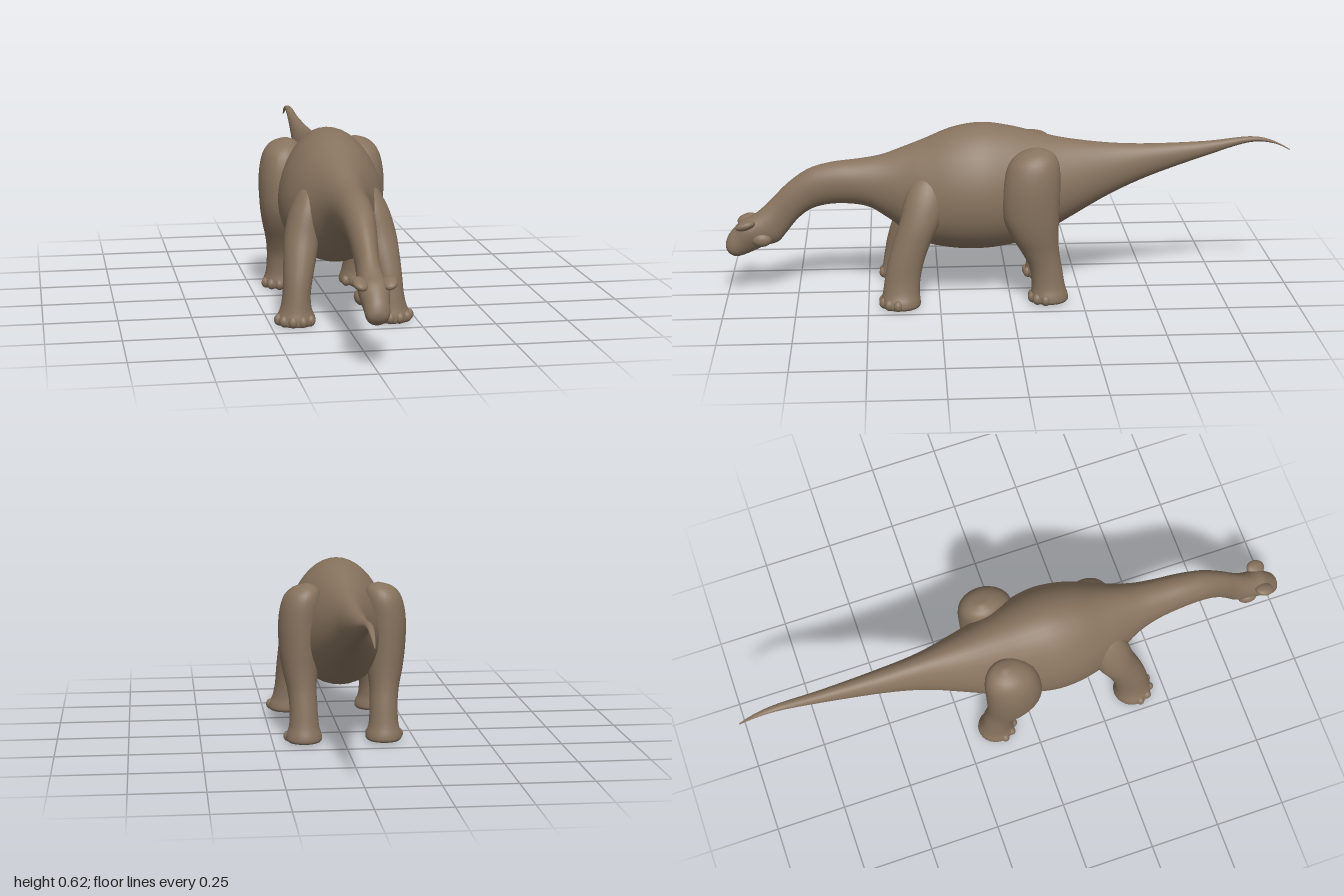
import * as THREE from 'three';

// Smoothly resample a table of section rows (Catmull-Rom on every column)
function resample(rows, steps) {
  const out = [];
  const at = (i) => rows[Math.max(0, Math.min(rows.length - 1, i))];
  for (let i = 0; i < rows.length - 1; i++) {
    for (let s = 0; s < steps; s++) {
      const t = s / steps;
      out.push(rows[i].map((b, k) => {
        const a = at(i - 1)[k], c = at(i + 1)[k], d = at(i + 2)[k];
        return b + 0.5 * t * (c - a + t * (2 * a - 5 * b + 4 * c - d + t * (3 * (b - c) + d - a)));
      }));
    }
  }
  out.push(rows[rows.length - 1]);
  return out;
}

// Skin closed rings of points, with a fan at each end
function loft(rows, sides, point) {
  const pos = [], index = [];
  rows.forEach((row) => {
    for (let j = 0; j < sides; j++) pos.push(...point(row, (j / sides) * Math.PI * 2));
  });
  for (let i = 0; i < rows.length - 1; i++) {
    for (let j = 0; j < sides; j++) {
      const k = (j + 1) % sides;
      const a = i * sides + j, b = i * sides + k;
      index.push(a, b, b + sides, a, b + sides, a + sides);
    }
  }
  const cap = (ring, flip) => {
    const c = pos.length / 3, sum = [0, 0, 0], base = ring * sides;
    for (let j = 0; j < sides; j++) for (let k = 0; k < 3; k++) sum[k] += pos[(base + j) * 3 + k] / sides;
    pos.push(...sum);
    for (let j = 0; j < sides; j++) {
      const a = base + j, b = base + ((j + 1) % sides);
      if (flip) index.push(c, b, a); else index.push(c, a, b);
    }
  };
  cap(0, true);
  cap(rows.length - 1, false);
  const g = new THREE.BufferGeometry();
  g.setAttribute('position', new THREE.Float32BufferAttribute(pos, 3));
  g.setIndex(index);
  g.computeVertexNormals();
  return g;
}

// Body sections: top z, top y, bottom z, bottom y, half width, widening towards the top
const TAIL = [
  [-1, 0.502, -1, 0.498, 0.002, 0],
  [-0.93, 0.538, -0.94, 0.525, 0.008, 0],
  [-0.85, 0.551, -0.85, 0.53, 0.013, 0],
  [-0.7, 0.537, -0.7, 0.485, 0.022, 0],
  [-0.5, 0.531, -0.5, 0.415, 0.04, 0],
  [-0.35, 0.537, -0.35, 0.347, 0.062, -0.1],
  [-0.2, 0.556, -0.2, 0.262, 0.105, -0.15],
];
const TORSO = [
  [-0.1, 0.579, -0.1, 0.205, 0.135, -0.15],
  [0, 0.604, 0, 0.176, 0.16, -0.12],
  [0.1, 0.616, 0.1, 0.165, 0.178, -0.12],
  [0.2, 0.6, 0.2, 0.169, 0.17, -0.12],
  [0.3, 0.56, 0.3, 0.19, 0.14, -0.12],
  [0.38, 0.53, 0.37, 0.235, 0.104, -0.08],
];
const NECK = [
  [0.45, 0.506, 0.43, 0.28, 0.08, 0],
  [0.53, 0.493, 0.5, 0.322, 0.066, 0],
  [0.62, 0.483, 0.6, 0.334, 0.057, 0.05],
  [0.7, 0.461, 0.685, 0.32, 0.049, 0.05],
  [0.77, 0.415, 0.74, 0.284, 0.042, 0],
  [0.83, 0.357, 0.785, 0.23, 0.038, 0],
];
const HEAD = [
  [0.87, 0.318, 0.815, 0.197, 0.043, 0],
  [0.905, 0.292, 0.86, 0.183, 0.046, 0.1],
  [0.94, 0.277, 0.9, 0.165, 0.046, 0.25],
  [0.968, 0.25, 0.932, 0.152, 0.041, 0.1],
  [0.99, 0.222, 0.962, 0.145, 0.038, 0],
  [1, 0.195, 0.983, 0.153, 0.027, 0],
  [1, 0.18, 0.996, 0.168, 0.01, 0],
];

// Leg sections from the sole up: y, x, z, x radius, z radius
const FRONT_LEG = [
  [0.003, 0.163, 0.387, 0.06, 0.064],
  [0.012, 0.163, 0.387, 0.067, 0.069],
  [0.03, 0.163, 0.387, 0.064, 0.068],
  [0.055, 0.162, 0.385, 0.053, 0.064],
  [0.1, 0.159, 0.38, 0.047, 0.062],
  [0.16, 0.152, 0.368, 0.05, 0.063],
  [0.23, 0.141, 0.345, 0.056, 0.066],
  [0.3, 0.13, 0.317, 0.059, 0.07],
  [0.38, 0.112, 0.297, 0.053, 0.07],
  [0.44, 0.093, 0.287, 0.036, 0.048],
  [0.47, 0.08, 0.28, 0.005, 0.006],
];
const HIND_LEG = [
  [0.006, 0.14, -0.133, 0.057, 0.062],
  [0.014, 0.14, -0.133, 0.063, 0.067],
  [0.032, 0.14, -0.133, 0.061, 0.065],
  [0.065, 0.14, -0.13, 0.052, 0.058],
  [0.13, 0.141, -0.12, 0.049, 0.057],
  [0.19, 0.145, -0.1, 0.052, 0.067],
  [0.25, 0.149, -0.08, 0.062, 0.084],
  [0.32, 0.152, -0.068, 0.069, 0.098],
  [0.42, 0.151, -0.07, 0.073, 0.099],
  [0.5, 0.141, -0.078, 0.068, 0.088],
  [0.54, 0.131, -0.087, 0.046, 0.056],
  [0.556, 0.125, -0.09, 0.006, 0.008],
];

export function createModel() {
  const model = new THREE.Group();
  model.name = 'longNeckedDinosaur';
  const skin = new THREE.MeshStandardMaterial({ color: 0x87735e });
  skin.name = 'brown skin';

  const add = (name, geometry, parent = model) => {
    const mesh = new THREE.Mesh(geometry, skin);
    mesh.name = name;
    parent.add(mesh);
    return mesh;
  };
  const ball = new THREE.SphereGeometry(1, 20, 14);
  const blob = (name, p, s, parent) => {
    const mesh = add(name, ball, parent);
    mesh.position.set(...p);
    mesh.scale.set(...s);
    return mesh;
  };

  // Tail, torso, neck and head as one continuous skin
  const spine = resample([...TAIL, ...TORSO, ...NECK, ...HEAD], 5);
  add('body', loft(spine, 40, ([zt, yt, zb, yb, w, e], a) => {
    const s = Math.sin(a);
    return [
      w * Math.cos(a) * (1 + e * s),
      (yt + yb) / 2 + ((yt - yb) / 2) * s,
      (zt + zb) / 2 + ((zt - zb) / 2) * s,
    ];
  }));

  for (const side of [1, -1]) {
    const label = side > 0 ? 'left' : 'right';

    // Raised brow and jaw muscle
    const brow = blob(label + 'Brow', [side * 0.045, 0.268, 0.926], [0.027, 0.016, 0.036]);
    brow.rotation.set(0.3, 0, side * 0.25);
    blob(label + 'Jaw', [side * 0.031, 0.213, 0.872], [0.024, 0.026, 0.036]);

    // Legs with a fan of rounded toes
    for (const [name, rows, yaw] of [['FrontLeg', FRONT_LEG, 0.3], ['HindLeg', HIND_LEG, 0.2]]) {
      const leg = new THREE.Group();
      leg.name = label + name;
      model.add(leg);
      add('limb', loft(resample(rows, 4), 28, ([y, x, z, rx, rz], a) =>
        [side * x + rx * Math.cos(a), y, z - rz * Math.sin(a)]), leg);
      const [, x, z, rx, rz] = rows[1];
      for (let i = 0; i < 5; i++) {
        const a = (i - 2) * 0.55 + side * yaw;
        const toe = blob('toe', [
          side * x + Math.sin(a) * rx * 0.86, 0.021, z + Math.cos(a) * rz * 0.86,
        ], [0.016, 0.02, 0.019], leg);
        toe.rotation.y = a;
      }
    }
  }
  return model;
}
